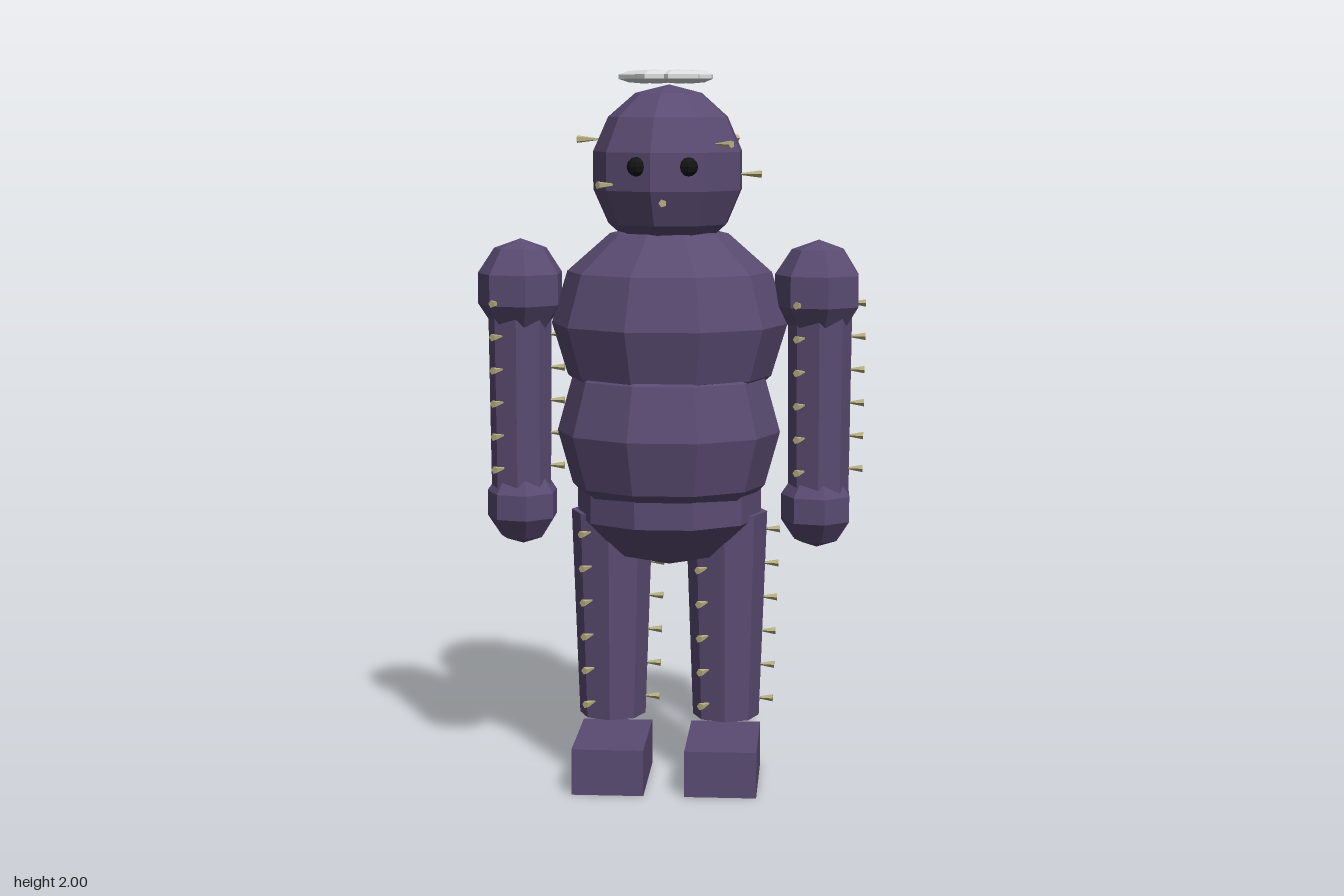
import * as THREE from 'three';

const skin = new THREE.MeshStandardMaterial({ color: 0x5a4b72 });
skin.name = 'dusky purple skin';
const thornMat = new THREE.MeshStandardMaterial({ color: 0xb8b080 });
thornMat.name = 'straw thorn';
const petalMat = new THREE.MeshStandardMaterial({ color: 0xdcdcdc });
petalMat.name = 'pale petal';
const eyeMat = new THREE.MeshStandardMaterial({ color: 0x141414 });
eyeMat.name = 'black eye';

// Faceted mesh: unshared corners give every face its own normal
function add(parent, name, geometry, material, x = 0, y = 0, z = 0) {
  const geo = geometry.index ? geometry.toNonIndexed() : geometry;
  geo.computeVertexNormals();
  const mesh = new THREE.Mesh(geo, material);
  mesh.name = name;
  mesh.position.set(x, y, z);
  parent.add(mesh);
  return mesh;
}

const blob = (rx, ry, rz, sides, rows) =>
  new THREE.SphereGeometry(1, sides, rows).scale(rx, ry, rz);

// Thorn lying in the horizontal plane, narrow at the skin and wide at its outer end
function addThorn(parent, cx, y, cz, angle, inner, outer) {
  const geo = new THREE.CylinderGeometry(0.011, 0.001, outer - inner, 5);
  geo.rotateZ(-Math.PI / 2);
  geo.translate((inner + outer) / 2, 0, 0);
  geo.rotateY(-angle);
  add(parent, 'thorn', geo, thornMat, cx, y, cz);
}

// Tapered limb with three columns of six thorns
function addLimb(parent, name, x, top, bottom, rTop, rBottom, firstThorn, lastThorn) {
  const limb = new THREE.Group();
  limb.name = name;
  const height = top - bottom;
  add(limb, name + 'Stem', new THREE.CylinderGeometry(rTop, rBottom, height, 8), skin, x, (top + bottom) / 2);
  for (let row = 0; row < 6; row++) {
    const y = THREE.MathUtils.lerp(firstThorn, lastThorn, row / 5);
    const r = THREE.MathUtils.lerp(rBottom, rTop, (y - bottom) / height);
    for (let k = 0; k < 3; k++) addThorn(limb, x, y, 0, (k * Math.PI * 2) / 3, r - 0.015, r + 0.038);
  }
  parent.add(limb);
  return limb;
}

export function createModel() {
  const model = new THREE.Group();
  model.name = 'cactusFigure';

  // Stacked body
  add(model, 'chest', blob(0.33, 0.29, 0.288, 10, 6), skin, 0, 1.3, 0);
  add(model, 'belly', blob(0.312, 0.3, 0.262, 10, 6), skin, 0, 1.0, 0.028);
  add(model, 'hips', blob(0.272, 0.2, 0.25, 10, 5), skin, 0, 0.815, 0);

  // Head with eyes
  const head = new THREE.Group();
  head.name = 'head';
  model.add(head);
  add(head, 'skull', blob(0.217, 0.235, 0.217, 9, 7), skin, 0, 1.725, 0);
  for (const x of [-0.075, 0.065]) {
    add(head, 'eye', blob(0.027, 0.027, 0.027, 8, 6), eyeMat, x, 1.74, 0.184);
  }

  // Head thorns, one every 45 degrees from +x towards +z
  [1.715, 1.8, 1.645, 1.69, 1.81, 1.72, 1.67, 1.81].forEach((y, i) =>
    addThorn(head, 0, y, 0, (i * Math.PI) / 4, 0.185, 0.256));

  // Flower: six overlapping flattened petals
  const flower = new THREE.Group();
  flower.name = 'flower';
  model.add(flower);
  for (let i = 0; i < 6; i++) {
    const a = (i * Math.PI) / 3;
    add(flower, 'petal', blob(0.076, 0.019, 0.076, 5, 5), petalMat,
      -0.004 + 0.064 * Math.cos(a), 1.981, 0.064 * Math.sin(a));
  }

  // Arms, legs and feet on both sides
  for (const [side, s] of [['left', 1], ['right', -1]]) {
    const arm = addLimb(model, side + 'Arm', s * 0.42, 1.4, 0.78, 0.09, 0.084, 1.36, 0.895);
    add(arm, side + 'Shoulder', blob(0.128, 0.14, 0.128, 7, 5), skin, s * 0.416, 1.395, 0);
    add(arm, side + 'Hand', blob(0.106, 0.115, 0.112, 7, 5), skin, s * 0.416, 0.785, 0);
    addLimb(model, side + 'Leg', s * 0.162, 0.77, 0.18, 0.115, 0.094, 0.72, 0.23);
    add(model, side + 'Foot', new THREE.BoxGeometry(0.2, 0.13, 0.325), skin, s * 0.157, 0.065, 0.06);
  }
  return model;
}
